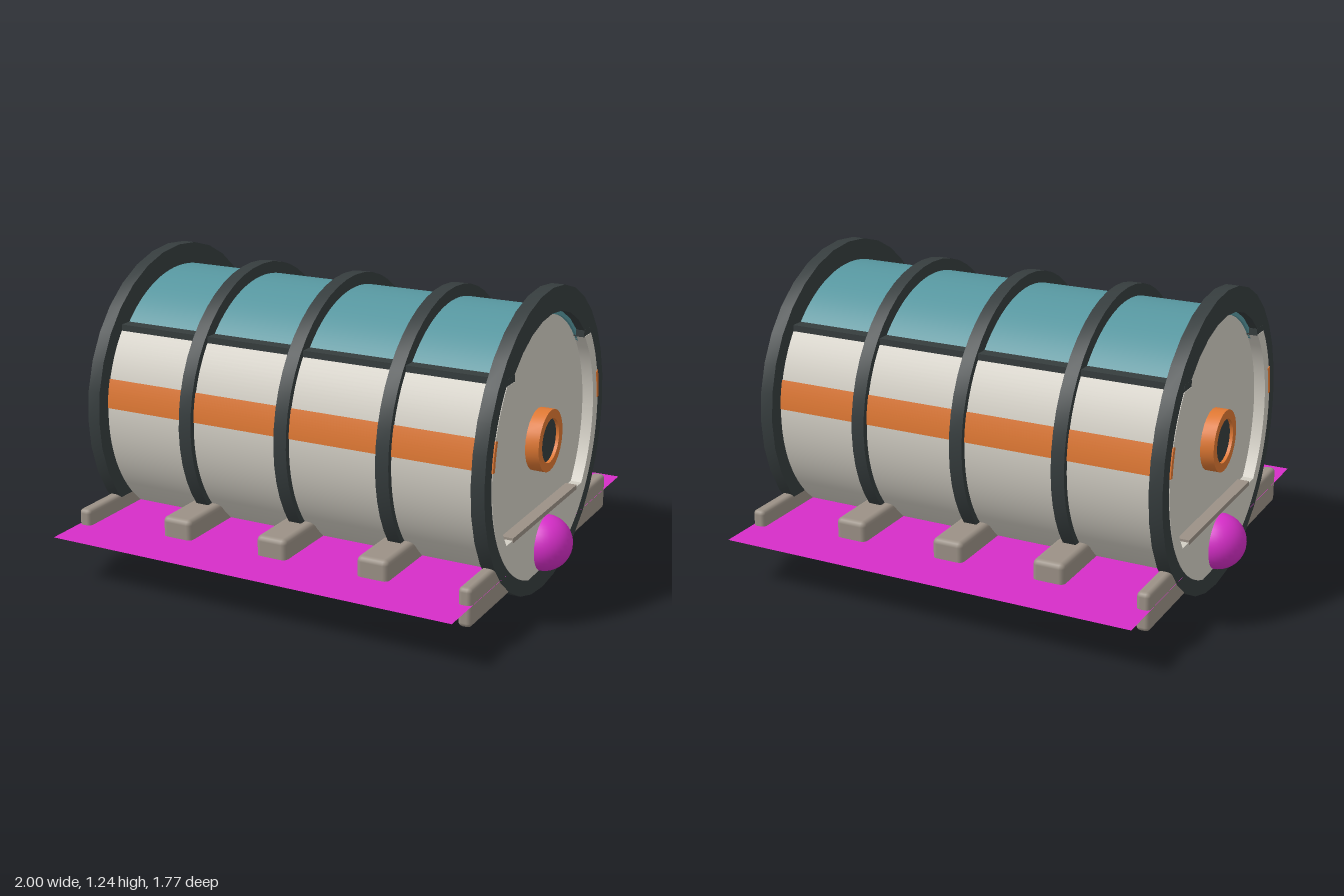
import * as THREE from 'three';
import { toCreasedNormals } from 'three/addons/utils/BufferGeometryUtils.js';
import { RoundedBoxGeometry } from 'three/addons/geometries/RoundedBoxGeometry.js';

const AXIS_Y = 0.62;

function mat(name, color, side = THREE.FrontSide) {
  const m = new THREE.MeshStandardMaterial({ color, side });
  m.name = name;
  return m;
}

export function createModel() {
  const model = new THREE.Group();
  model.name = 'barrelModule';

  const hullMat = mat('warm white', 0xd2cec4);
  const tealMat = mat('teal', 0x5797a0);
  const orangeMat = mat('orange', 0xdf7833);
  const darkMat = mat('charcoal', 0x363d3e);
  const skidMat = mat('stone grey', 0x9b9186);
  const magentaMat = mat('magenta', 0xd62ec8, THREE.DoubleSide);

  const add = (name, geometry, material, x = 0, y = 0, z = 0) => {
    const mesh = new THREE.Mesh(geometry, material);
    mesh.name = name;
    mesh.position.set(x, y, z);
    model.add(mesh);
    return mesh;
  };

  // Extrudes a cross-section along x, centred on x = 0
  const alongX = (shape, length, segments = 32) => {
    const g = new THREE.ExtrudeGeometry(shape, { depth: length, bevelEnabled: false, curveSegments: segments });
    g.translate(0, 0, -length / 2).rotateY(Math.PI / 2);
    return toCreasedNormals(g, 0.5);
  };

  // Part of a ring between two radii and two angles
  const band = (r0, r1, a0, a1) => {
    const s = new THREE.Shape();
    s.absarc(0, 0, r1, a0, a1, false);
    s.absarc(0, 0, r0, a1, a0, true);
    return s;
  };

  const hoop = (r0, r1) => {
    const s = new THREE.Shape();
    s.absarc(0, 0, r1, 0, Math.PI * 2, false);
    const hole = new THREE.Path();
    hole.absarc(0, 0, r0, 0, Math.PI * 2, true);
    s.holes.push(hole);
    return s;
  };

  // Hull: two curved walls joined by a solid floor with a flat underside
  const hull = new THREE.Shape();
  hull.absarc(0, 0, 0.555, 0.659, -1.269, true);
  hull.absarc(0, 0, 0.555, -Math.PI + 1.269, -Math.PI - 0.659, true);
  hull.absarc(0, 0, 0.5, -Math.PI - 0.748, -Math.PI + 0.6435, false);
  hull.absarc(0, 0, 0.5, -0.6435, 0.748, false);
  add('hull', alongX(hull, 1.774), hullMat, 0, AXIS_Y);

  // Roof, between the two rails
  add('roof', alongX(band(0.5, 0.53, 0.68, Math.PI - 0.68), 1.7), tealMat, 0, AXIS_Y);

  // Recessed end walls
  const bulkhead = new THREE.CylinderGeometry(0.518, 0.518, 0.04, 48).rotateZ(Math.PI / 2);
  for (const x of [-0.82, 0.82]) add('endWall', bulkhead, hullMat, x, AXIS_Y);

  // Floor edge seen at both ends
  add('floorEdge', new THREE.BoxGeometry(1.778, 0.02, 0.68), skidMat, 0, 0.32);

  for (const side of [-1, 1]) {
    // Roof rail
    add('roofRail', new THREE.BoxGeometry(1.77, 0.028, 0.075), darkMat, 0, 0.972, side * 0.4);
    // Side stripe
    const a = side > 0 ? [0.07, 0.288] : [Math.PI - 0.288, Math.PI - 0.07];
    // Cross-section x runs towards -z, but the pair is symmetric
    add('sideStripe', alongX(band(0.54, 0.559, a[0], a[1]), 1.78), orangeMat, 0, AXIS_Y);

    // End hoop
    add('endHoop', alongX(hoop(0.518, 0.62), 0.055, 16), darkMat, side * 0.857, AXIS_Y);

    // Porthole on the end wall
    add('portholeFrame', alongX(hoop(0.09, 0.127), 0.065, 12), orangeMat, side * 0.864, AXIS_Y + 0.005);
    const glass = new THREE.CylinderGeometry(0.092, 0.092, 0.05, 24).rotateZ(Math.PI / 2);
    add('portholeGlass', glass, darkMat, side * 0.858, AXIS_Y + 0.005);

    // End skid and end marker ball
    add('endSkid', new RoundedBoxGeometry(0.055, 0.158, 1.43, 2, 0.018), skidMat, side * 0.856, 0.181);
    add('endMarker', new THREE.SphereGeometry(0.115, 32, 20), magentaMat, side * 0.885, 0.193);
  }

  // Middle hoops and skids
  for (const x of [-0.44, 0, 0.445]) {
    add('middleHoop', alongX(hoop(0.5, 0.58), 0.056, 24), darkMat, x, AXIS_Y);
    add('middleSkid', new RoundedBoxGeometry(0.135, 0.182, 1.32, 2, 0.022), skidMat, x, 0.185);
  }

  // Base sheet and the marker ball under the hull
  add('baseSheet', new THREE.PlaneGeometry(1.77, 1.77).rotateX(-Math.PI / 2), magentaMat, 0, 0.193);
  add('centreMarker', new THREE.SphereGeometry(0.17, 32, 20), magentaMat, 0, 0.19);

  return model;
}
